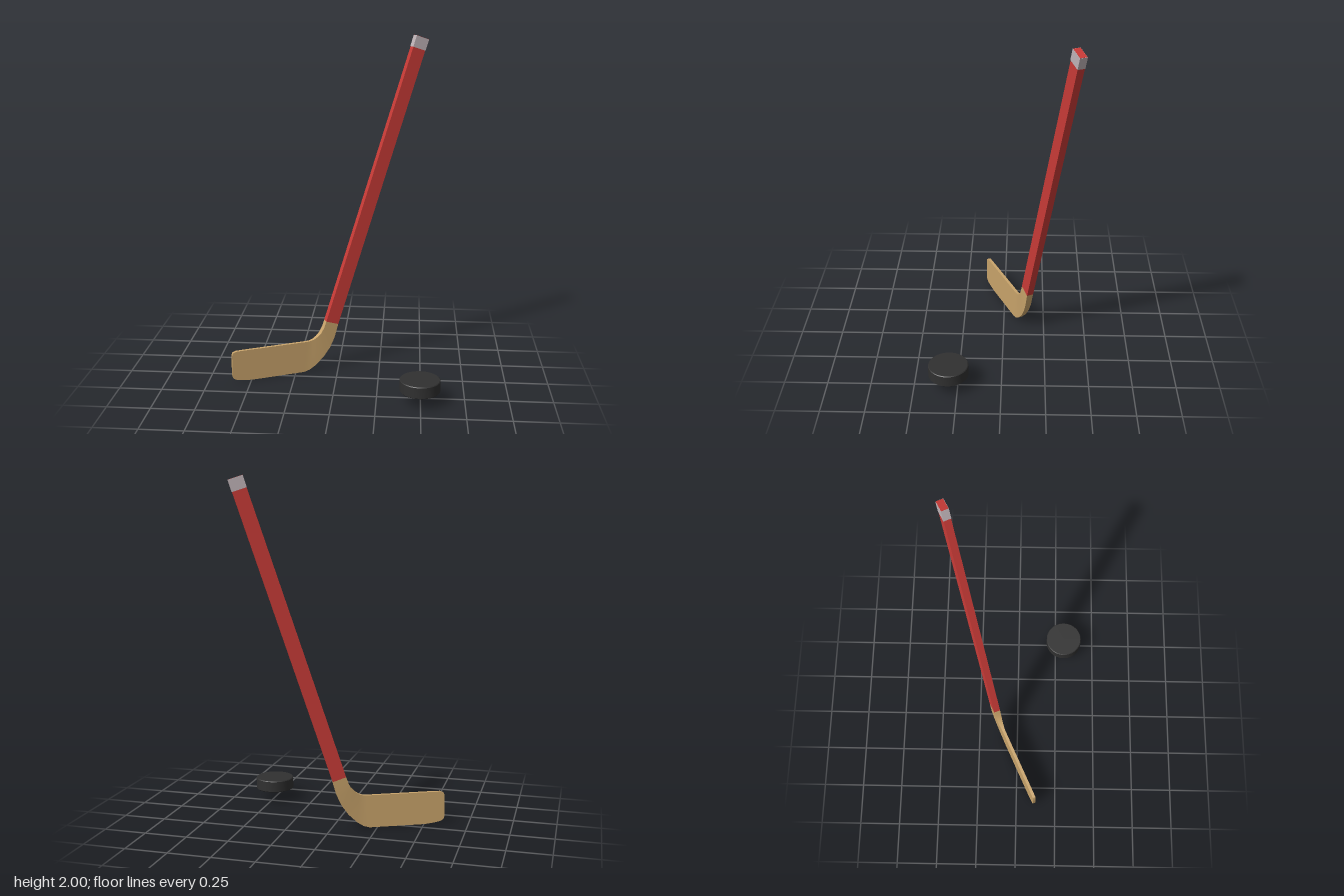
import * as THREE from 'three';
import { toCreasedNormals } from 'three/addons/utils/BufferGeometryUtils.js';

const mat = (name, color) => {
  const m = new THREE.MeshStandardMaterial({ color });
  m.name = name;
  return m;
};

// Loft of rectangular sections: [low x, low y, high x, high y, half thickness]
function loft(sections) {
  const rings = sections.map(([lx, ly, ux, uy, t]) => [
    [lx, ly, t], [ux, uy, t], [ux, uy, -t], [lx, ly, -t],
  ]);
  const pos = [];
  const quad = (a, b, c, d) => [a, b, c, a, c, d].forEach((p) => pos.push(...p));
  for (let i = 0; i < rings.length - 1; i++) {
    const a = rings[i], b = rings[i + 1];
    for (let j = 0; j < 4; j++) {
      const k = (j + 1) % 4;
      quad(a[j], b[j], b[k], a[k]);
    }
  }
  quad(...rings[0]);
  quad(...rings[rings.length - 1].slice().reverse());
  const g = new THREE.BufferGeometry();
  g.setAttribute('position', new THREE.Float32BufferAttribute(pos, 3));
  return toCreasedNormals(g, 0.6);
}

export function createModel() {
  const red = mat('red paint', 0xc93b37);
  const wood = mat('wood', 0xc9a46b);
  const grey = mat('grey tape', 0xc0b4b8);
  const black = mat('black rubber', 0x303030);

  const model = new THREE.Group();
  const add = (parent, name, geometry, material) => {
    const mesh = new THREE.Mesh(geometry, material);
    mesh.name = name;
    parent.add(mesh);
    return mesh;
  };

  // Stick, built in its own upright plane and then turned
  const stick = new THREE.Group();
  stick.name = 'stick';
  stick.position.z = -0.166;
  stick.rotation.y = 0.434;
  model.add(stick);

  // Blade from toe to heel, thickening into the neck
  add(stick, 'blade', loft([
    [-0.670, 0.040, -0.670, 0.168, 0.009],
    [-0.664, 0.024, -0.664, 0.183, 0.009],
    [-0.645, 0.013, -0.645, 0.191, 0.009],
    [-0.600, 0.005, -0.600, 0.192, 0.009],
    [-0.550, 0.000, -0.550, 0.192, 0.009],
    [-0.225, 0.000, -0.205, 0.192, 0.009],
    [-0.190, 0.010, -0.185, 0.194, 0.009],
    [-0.152, 0.035, -0.165, 0.200, 0.011],
    [-0.100, 0.085, -0.141, 0.215, 0.014],
    [-0.061, 0.140, -0.118, 0.238, 0.017],
    [-0.033, 0.200, -0.101, 0.267, 0.019],
    [-0.009, 0.285, -0.085, 0.310, 0.020],
  ]), wood);

  // Shaft leaning away from the blade, with a band round its end
  const base = new THREE.Vector2(-0.047, 0.2976);
  const tip = new THREE.Vector2(0.515, 1.986);
  const length = base.distanceTo(tip);
  const handle = new THREE.Group();
  handle.name = 'handle';
  handle.position.set(base.x, base.y, 0);
  handle.rotation.z = -Math.atan2(tip.x - base.x, tip.y - base.y);
  stick.add(handle);
  add(handle, 'shaft', new THREE.BoxGeometry(0.08, length, 0.04), red).position.y = length / 2;
  add(handle, 'endBand', new THREE.BoxGeometry(0.083, 0.068, 0.043), grey).position.y = length - 0.035;

  // Puck with a slightly eased rim
  const r = 0.115, h = 0.035, e = 0.004;
  const profile = [[0, -h], [r - e, -h], [r, e - h], [r, h - e], [r - e, h], [0, h]]
    .map(([x, y]) => new THREE.Vector2(x, y));
  const puck = add(model, 'puck', toCreasedNormals(new THREE.LatheGeometry(profile, 48), 0.6), black);
  puck.position.set(0.495, 0.105, 0.302);

  return model;
}
